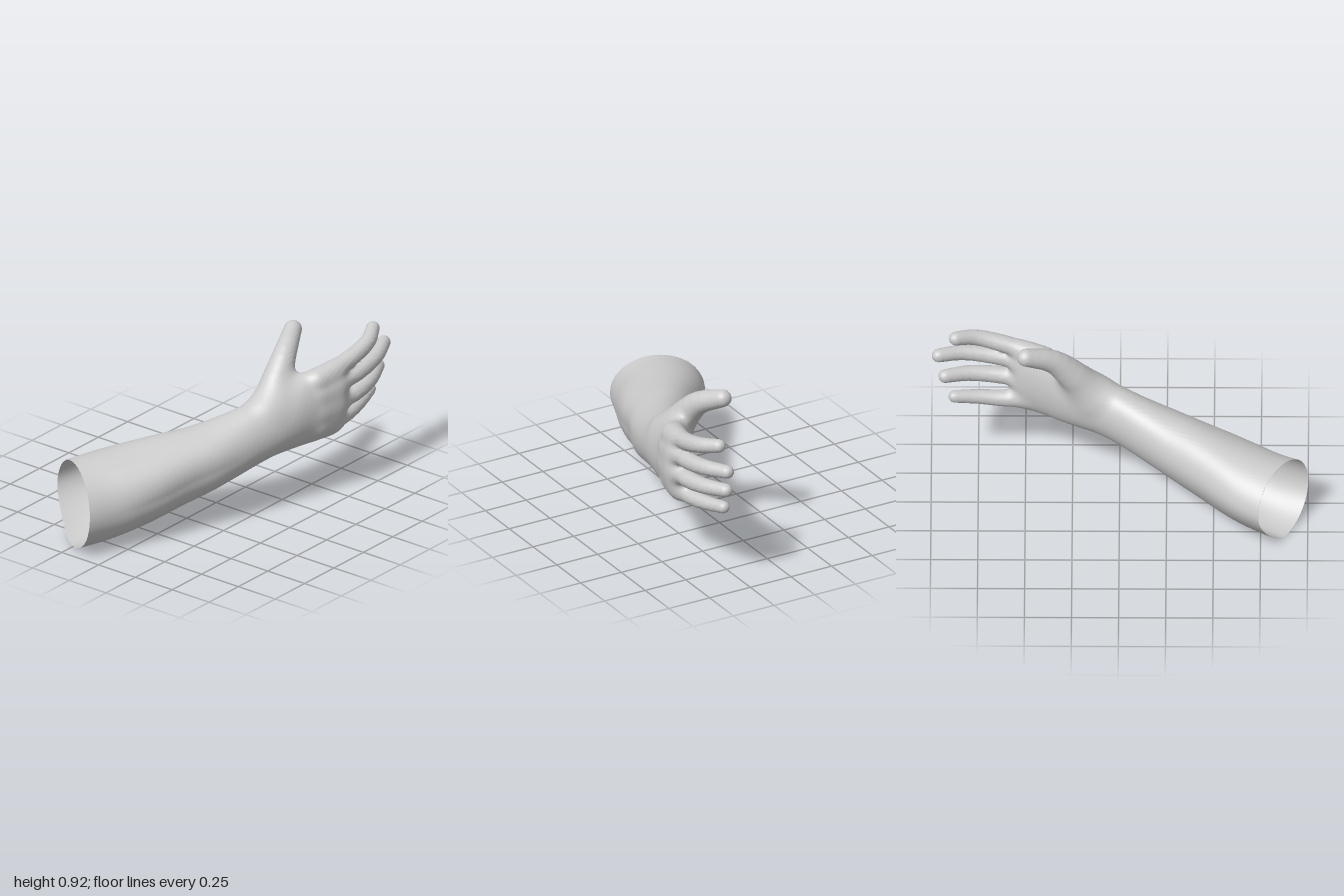
import * as THREE from 'three';

// Forearm and palm outline by depth: z, x min, x max, y min, y max
const SECTIONS = [
  [-0.62, 0.335, 0.463, 0.36, 0.747],
  [-0.50, 0.303, 0.477, 0.337, 0.748],
  [-0.40, 0.257, 0.455, 0.325, 0.737],
  [-0.30, 0.20, 0.422, 0.315, 0.712],
  [-0.20, 0.15, 0.397, 0.308, 0.67],
  [-0.12, 0.115, 0.374, 0.30, 0.638],
  [0.00, 0.055, 0.333, 0.265, 0.605],
  [0.12, -0.025, 0.293, 0.22, 0.57],
  [0.25, -0.125, 0.247, 0.17, 0.54],
  [0.40, -0.245, 0.18, 0.115, 0.52],
  [0.60, -0.41, 0.107, 0.047, 0.487],
  [0.74, -0.49, 0.05, 0.015, 0.467],
  [0.85, -0.535, 0.0, 0.0, 0.452],
  [1.00, -0.58, -0.06, 0.0, 0.44],
  [1.12, -0.61, -0.11, 0.0, 0.43],
];

// Centre lines of the digits: x, y, z, radius
const FINGERS = [
  [[0.38, 0.685, -0.39, 0.045], [0.417, 0.74, -0.62, 0.047], [0.416, 0.783, -0.77, 0.042], [0.368, 0.81, -0.872, 0.037]],
  [[0.385, 0.61, -0.39, 0.045], [0.431, 0.646, -0.65, 0.047], [0.422, 0.677, -0.83, 0.042], [0.37, 0.695, -0.962, 0.037]],
  [[0.385, 0.51, -0.39, 0.045], [0.422, 0.528, -0.64, 0.047], [0.407, 0.55, -0.80, 0.042], [0.357, 0.567, -0.927, 0.037]],
  [[0.375, 0.415, -0.39, 0.045], [0.382, 0.402, -0.60, 0.046], [0.37, 0.421, -0.75, 0.039], [0.342, 0.443, -0.877, 0.034]],
];
const THUMB = [[0.227, 0.56, -0.14, 0.09], [0.212, 0.69, -0.25, 0.08], [0.185, 0.8, -0.355, 0.062], [0.125, 0.871, -0.497, 0.048]];

// Slanted opening at the elbow end
const CUT_POINT = new THREE.Vector3(-0.275, 0.225, 0.87);
const CUT_NORMAL = new THREE.Vector3(-0.517, 0.07, 0.856).normalize();

function smoothMin(a, b, k) {
  const h = Math.max(k - Math.abs(a - b), 0) / k;
  return Math.min(a, b) - h * h * k / 4;
}

// Resample a digit along a smooth curve
function digit(points) {
  const curve = new THREE.CatmullRomCurve3(points.map(p => new THREE.Vector3(p[0], p[1], p[2])));
  return Array.from({ length: 10 }, (_, i) => {
    const t = i / 9, p = curve.getPoint(t);
    const s = Math.min(Math.floor(t * 3), 2);
    return [p.x, p.y, p.z, THREE.MathUtils.lerp(points[s][3], points[s + 1][3], t * 3 - s)];
  });
}

// Distance to a chain of tapered, rounded segments
function chainDistance(chain, x, y, z) {
  let best = Infinity;
  for (let i = 0; i < chain.length - 1; i++) {
    const a = chain[i], b = chain[i + 1];
    const dx = b[0] - a[0], dy = b[1] - a[1], dz = b[2] - a[2];
    const px = x - a[0], py = y - a[1], pz = z - a[2];
    const t = Math.min(1, Math.max(0, (px * dx + py * dy + pz * dz) / (dx * dx + dy * dy + dz * dz)));
    const qx = px - dx * t, qy = py - dy * t, qz = pz - dz * t;
    best = Math.min(best, Math.sqrt(qx * qx + qy * qy + qz * qz) - a[3] - (b[3] - a[3]) * t);
  }
  return best;
}

// Distance to the forearm and palm: ellipses, on the forearm slimmer
// at the lower inner side and fuller at the upper outer side
function bodyDistance(s, x, y, z) {
  const a = (s[1] - s[0]) / 2, b = (s[3] - s[2]) / 2;
  const v = (y - (s[2] + s[3]) / 2) / b;
  let u = (x - (s[0] + s[1]) / 2) / a;
  if (u < 0) u *= 1 + 0.45 * Math.min(Math.max(0.2 - v, 0), 1.2) ** 2 * THREE.MathUtils.smoothstep(z, 0, 0.7);
  else if (v > 0) {
    const fade = THREE.MathUtils.smoothstep(z, 0, 0.35) * (1 - THREE.MathUtils.smoothstep(z, 0.55, 0.95));
    u *= 1 - 0.2 * fade * Math.min(u * v, 0.6);
  }
  const k0 = Math.max(Math.hypot(u, v), 1e-6), k1 = Math.max(Math.hypot(u / a, v / b), 1e-6);
  return -smoothMin(-k0 * (k0 - 1) / k1, z + 0.578, 0.1);
}

// Wrap a smooth skin of quads around the zero level of a sampled distance field
function skin(field, n, min, cell) {
  const stride = [1, n[0], n[0] * n[1]];
  const vertexAt = new Int32Array(field.length).fill(-1);
  const points = [], index = [];
  for (let k = 0; k < n[2] - 1; k++) for (let j = 0; j < n[1] - 1; j++) for (let i = 0; i < n[0] - 1; i++) {
    const base = i + j * stride[1] + k * stride[2];
    const sum = [0, 0, 0];
    let count = 0;
    for (let c = 0; c < 8; c++) for (let axis = 0; axis < 3; axis++) {
      if (c >> axis & 1) continue;
      const corner = [c & 1, c >> 1 & 1, c >> 2 & 1];
      const at = base + corner[0] + corner[1] * stride[1] + corner[2] * stride[2];
      const f0 = field[at], f1 = field[at + stride[axis]];
      if ((f0 < 0) === (f1 < 0)) continue;
      corner[axis] = f0 / (f0 - f1);
      for (let m = 0; m < 3; m++) sum[m] += corner[m];
      count++;
    }
    if (!count) continue;
    vertexAt[base] = points.length;
    points.push(new THREE.Vector3(...[i, j, k].map((g, m) => min[m] + (g + sum[m] / count) * cell)));
  }
  // Trim everything past the elbow opening
  const beyond = points.map(p => CUT_NORMAL.dot(p.clone().sub(CUT_POINT)));
  points.forEach((p, i) => { if (beyond[i] > 0) p.addScaledVector(CUT_NORMAL, -beyond[i]); });

  for (let k = 1; k < n[2] - 1; k++) for (let j = 1; j < n[1] - 1; j++) for (let i = 1; i < n[0] - 1; i++) {
    const at = i + j * stride[1] + k * stride[2];
    for (let axis = 0; axis < 3; axis++) {
      const inside = field[at] < 0;
      if (inside === (field[at + stride[axis]] < 0)) continue;
      const b = stride[(axis + 1) % 3], c = stride[(axis + 2) % 3];
      const q = [at - b - c, at - c, at, at - b].map(id => vertexAt[id]);
      if (q.some(v => v < 0) || q.every(v => beyond[v] >= 0)) continue;
      if (!inside) q.reverse();
      index.push(q[0], q[1], q[2], q[0], q[2], q[3]);
    }
  }
  // Keep only the vertices in use
  const remap = new Map(), position = [];
  const compact = index.map(v => {
    if (!remap.has(v)) {
      remap.set(v, remap.size);
      position.push(points[v].x, points[v].y, points[v].z);
    }
    return remap.get(v);
  });
  const geometry = new THREE.BufferGeometry();
  geometry.setAttribute('position', new THREE.Float32BufferAttribute(position, 3));
  geometry.setIndex(compact);
  geometry.computeVertexNormals();
  return geometry;
}

export function createModel() {
  const cell = 0.0115, min = [-0.66, -0.05, -1.04], max = [0.54, 0.97, 1.08];
  const n = min.map((m, i) => Math.ceil((max[i] - m) / cell) + 1);
  const outline = new THREE.CubicInterpolant(SECTIONS.map(s => s[0]), SECTIONS.flatMap(s => s.slice(1)), 4);
  const fingers = FINGERS.map(digit), thumb = digit(THUMB);
  const field = new Float32Array(n[0] * n[1] * n[2]);

  // Blend forearm, palm, thumb and fingers into one field
  let id = 0;
  for (let k = 0; k < n[2]; k++) {
    const z = min[2] + k * cell;
    const section = Array.from(outline.evaluate(Math.max(z, -0.62)));
    for (let j = 0; j < n[1]; j++) for (let i = 0; i < n[0]; i++) {
      const x = min[0] + i * cell, y = min[1] + j * cell;
      let d = bodyDistance(section, x, y, z);
      if (z < 0.15) d = smoothMin(d, chainDistance(thumb, x, y, z), 0.07);
      if (z < -0.25) {
        const f = fingers.map(finger => chainDistance(finger, x, y, z)).reduce((p, q) => smoothMin(p, q, 0.015));
        d = smoothMin(d, f, 0.04);
      }
      field[id++] = d;
    }
  }

  const material = new THREE.MeshStandardMaterial({ color: 0xcccccc, side: THREE.DoubleSide });
  const arm = new THREE.Mesh(skin(field, n, min, cell), material);
  arm.name = 'forearmAndHand';
  const group = new THREE.Group();
  group.name = 'arm';
  group.add(arm);
  return group;
}
